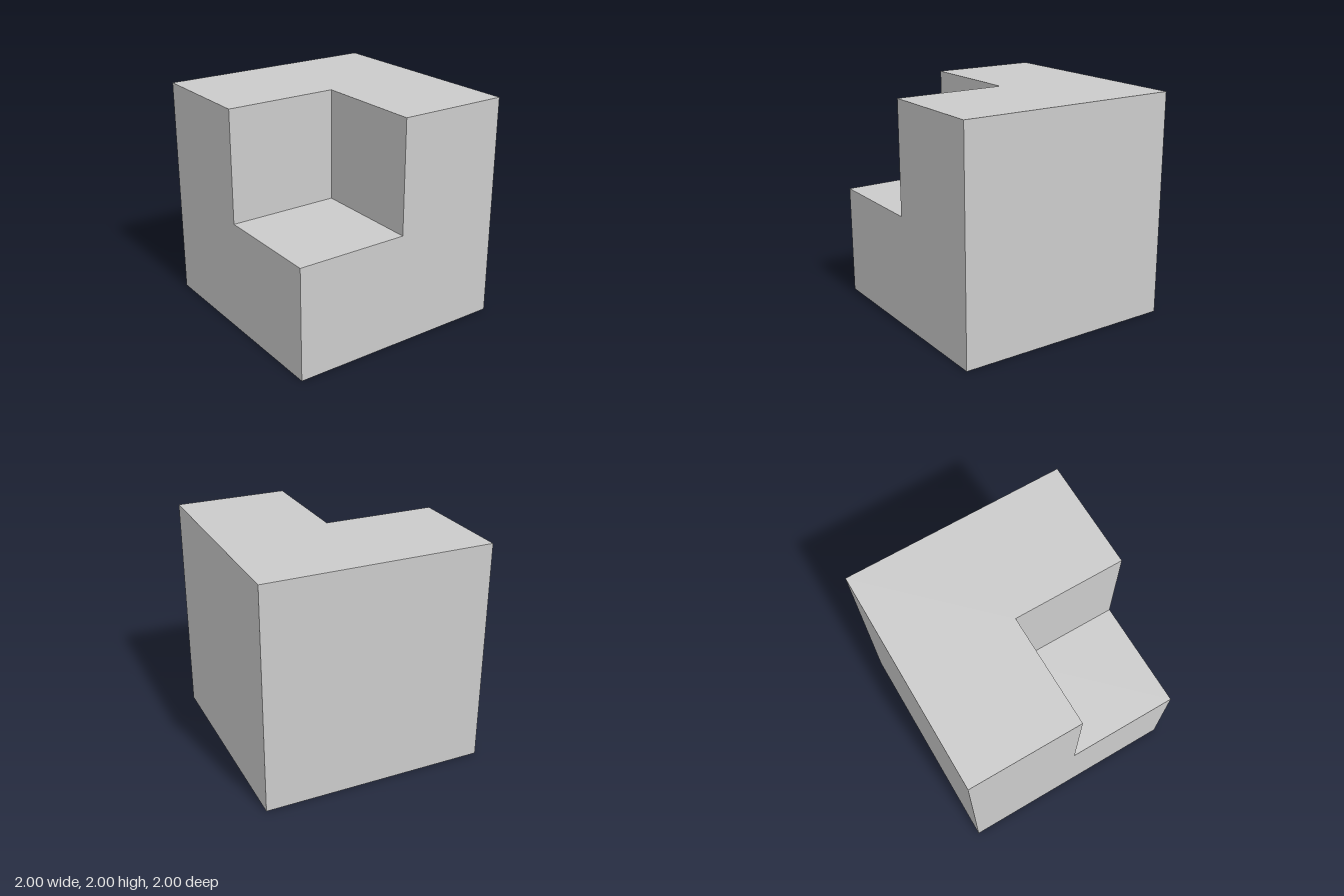
import * as THREE from 'three';
import { mergeGeometries } from 'three/addons/utils/BufferGeometryUtils.js';

// Flat polygon in the xy plane, facing +z
const face = (...points) =>
  new THREE.ShapeGeometry(new THREE.Shape(points.map(([x, y]) => new THREE.Vector2(x, y))));

export function createModel() {
  const group = new THREE.Group();
  const diagonal = new THREE.Vector3(1, 1, 1).normalize();
  const faces = [];

  // The block looks the same along x, y and z: turn one set of faces about the notch diagonal
  for (let i = 0; i < 3; i++) {
    const set = [
      // outer L-shaped face
      face([-1, -1], [1, -1], [1, 0], [0, 0], [0, 1], [-1, 1]).translate(0, 0, 1),
      // inner wall of the notch
      face([0, 0], [1, 0], [1, 1], [0, 1]),
      // full square on the far side
      face([-1, -1], [1, -1], [1, 1], [-1, 1]).rotateY(Math.PI).translate(0, 0, -1),
    ];
    const turn = new THREE.Matrix4().makeRotationAxis(diagonal, (i * 2 * Math.PI) / 3);
    faces.push(...set.map((g) => g.applyMatrix4(turn)));
  }

  const block = new THREE.Mesh(
    mergeGeometries(faces).translate(0, 1, 0),
    new THREE.MeshStandardMaterial({ color: 0xcccccc, flatShading: true })
  );
  block.name = 'notchedCube';
  group.add(block);
  return group;
}
